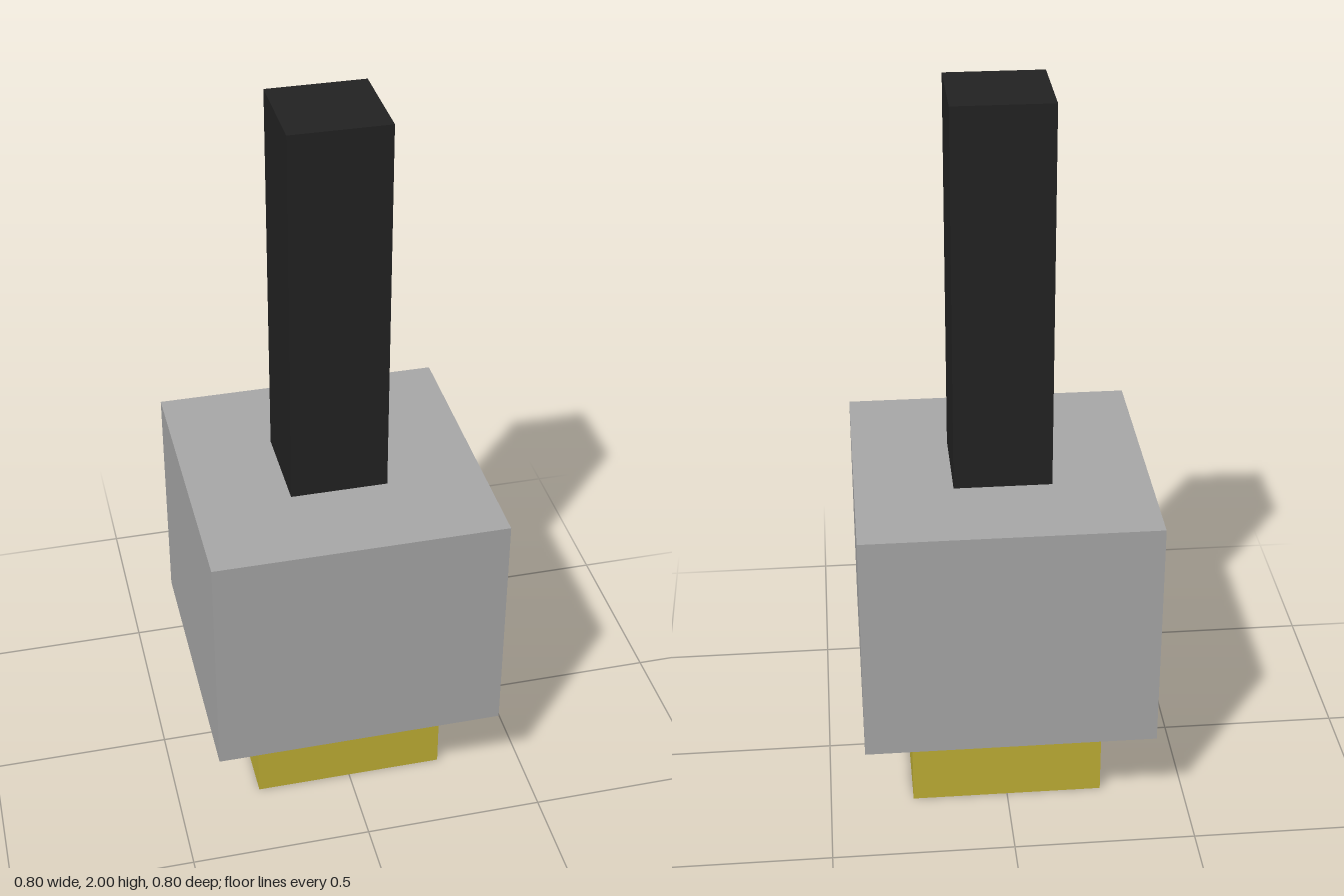
import * as THREE from 'three';

const UNIT = 2 / 15; // the model is fifteen units tall

export function createModel() {
  const model = new THREE.Group();
  model.name = 'plungerTool';

  const material = (name, color) => {
    const m = new THREE.MeshStandardMaterial({ color });
    m.name = name;
    return m;
  };

  // Square blocks stacked from the ground up
  const parts = [
    { name: 'tip', width: 4, height: 2, material: material('yellow', 0xc0b035) },
    { name: 'body', width: 6, height: 5, material: material('grey', 0xa8a8a8) },
    { name: 'shaft', width: 2, height: 8, material: material('black', 0x222222) },
  ];

  let y = 0;
  for (const part of parts) {
    const w = part.width * UNIT;
    const h = part.height * UNIT;
    const mesh = new THREE.Mesh(new THREE.BoxGeometry(w, h, w), part.material);
    mesh.name = part.name;
    mesh.position.y = y + h / 2;
    model.add(mesh);
    y += h;
  }

  return model;
}
